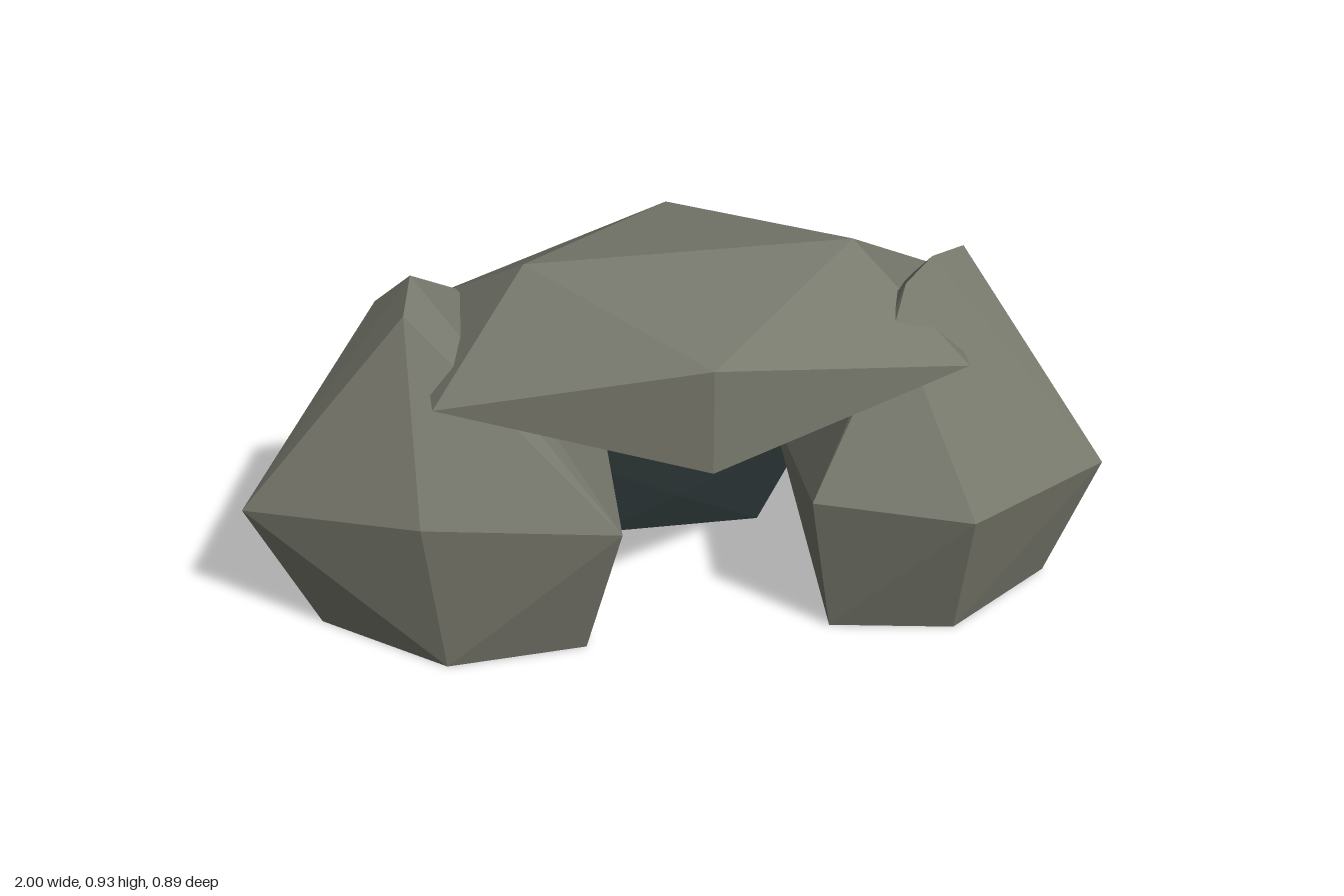
import * as THREE from 'three';
import { ConvexGeometry } from 'three/addons/geometries/ConvexGeometry.js';

export function createModel() {
  const group = new THREE.Group();
  const stone = new THREE.MeshStandardMaterial({ color: 0x78796d, flatShading: true });
  stone.name = 'grey stone';
  const shade = new THREE.MeshStandardMaterial({ color: 0x2a3435, flatShading: true });
  shade.name = 'dark opening';

  // Faceted boulder: foot ring, wide middle ring and a narrow crest
  function boulder(name, foot, middle, crest) {
    const points = [...foot, ...middle, ...crest].map(p => new THREE.Vector3(...p));
    const mesh = new THREE.Mesh(new ConvexGeometry(points), stone);
    mesh.name = name;
    group.add(mesh);
  }

  // Stretched twenty-sided stone
  function facetedStone(name, material, position, scale) {
    const geometry = new THREE.IcosahedronGeometry(1, 0);
    geometry.scale(...scale);
    geometry.computeVertexNormals();
    const mesh = new THREE.Mesh(geometry, material);
    mesh.name = name;
    mesh.position.set(...position);
    group.add(mesh);
  }

  boulder('leftBoulder',
    [[0.905, 0, 0.135], [0.64, 0, 0.32], [0.35, 0, 0.27],
      [0.39, 0, -0.07], [0.59, 0, -0.315], [0.835, 0, -0.195]],
    [[1, 0.37, 0.215], [0.64, 0.4, 0.445], [0.28, 0.435, 0.36],
      [0.27, 0.37, -0.13], [0.57, 0.4, -0.445], [0.87, 0.435, -0.19]],
    [[0.685, 0.87, 0.01], [0.59, 0.905, 0.1], [0.52, 0.87, 0.15], [0.49, 0.81, 0.2]]);

  boulder('rightBoulder',
    [[-0.84, 0, 0.08], [-0.56, 0, 0.29], [-0.23, 0, 0.265],
      [-0.21, 0, -0.005], [-0.41, 0, -0.27], [-0.69, 0, -0.18]],
    [[-1, 0.37, 0.11], [-0.605, 0.44, 0.34], [-0.155, 0.4, 0.37],
      [-0.14, 0.37, -0.07], [-0.44, 0.44, -0.36], [-0.82, 0.405, -0.24]],
    [[-0.605, 0.87, 0.12], [-0.58, 0.905, 0.01], [-0.66, 0.8, -0.06], [-0.475, 0.81, -0.07]]);

  // Capstone bridging both boulders
  facetedStone('capstone', stone, [0.045, 0.71, 0.04], [0.711, 0.2586, 0.425]);

  // Thin dark slab closing the cave mouth behind
  facetedStone('caveOpening', shade, [0.05, 0.28, -0.155], [0.38, 0.317, 0.02]);

  return group;
}
